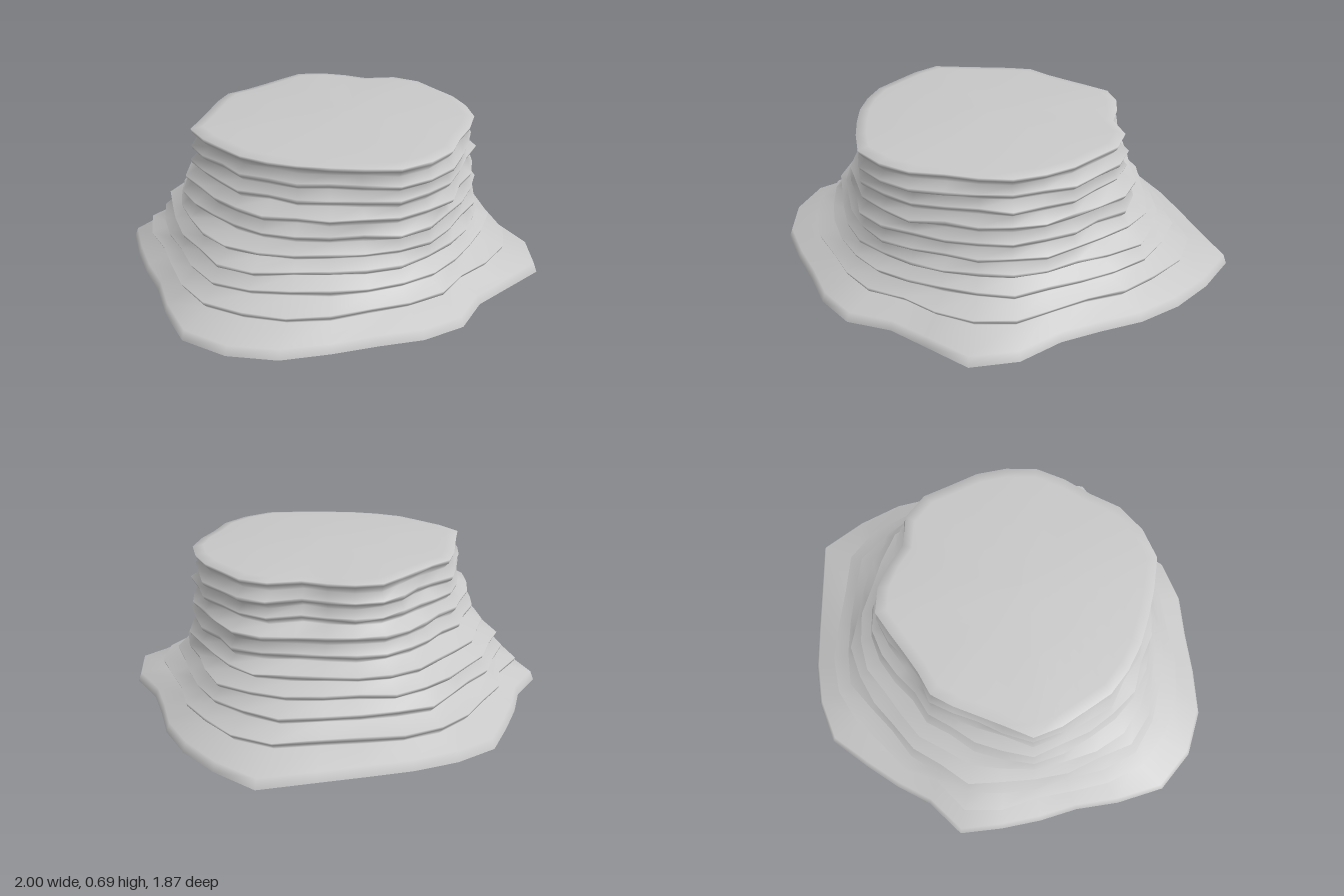
import * as THREE from 'three';

const SIDES = 30;
const TAU = Math.PI * 2;

// Plan radii every 12 degrees, from +x towards +z
const FOOT = [0.97, 0.92, 0.87, 0.87, 0.96, 1.0, 0.91, 0.87, 0.935, 0.93, 0.91, 0.94, 1.0, 1.03, 1.02,
  0.93, 0.86, 0.86, 0.88, 0.925, 0.84, 0.85, 0.88, 0.945, 0.94, 0.93, 0.935, 0.98, 1.08, 1.02];
const WAIST = [0.76, 0.72, 0.7, 0.7, 0.71, 0.71, 0.7, 0.7, 0.71, 0.72, 0.73, 0.73, 0.74, 0.77, 0.78,
  0.75, 0.72, 0.71, 0.72, 0.74, 0.69, 0.69, 0.67, 0.69, 0.72, 0.72, 0.71, 0.72, 0.76, 0.77];
const RIM = [0.63, 0.62, 0.64, 0.655, 0.67, 0.66, 0.655, 0.695, 0.71, 0.71, 0.66, 0.63, 0.62, 0.615, 0.615,
  0.6, 0.61, 0.62, 0.555, 0.525, 0.52, 0.525, 0.49, 0.49, 0.515, 0.565, 0.56, 0.54, 0.525, 0.605];

// Strata from bottom to top: [height of lip, blend]; 2 = foot, 1 = waist, 0 = rim
const STRATA = [[0.035, 2], [0.105, 1.48], [0.175, 1.15], [0.24, 1], [0.305, 0.7],
  [0.375, 0.4], [0.447, 0.3], [0.517, 0.07], [0.585, 0.04], [0.66, 0]];

function seeded(seed) {
  let s = seed;
  return () => (s = (s * 16807) % 2147483647) / 2147483647;
}

function planRadius(blend, j) {
  return blend > 1
    ? THREE.MathUtils.lerp(WAIST[j], FOOT[j], blend - 1)
    : THREE.MathUtils.lerp(RIM[j], WAIST[j], blend);
}

function buildRings() {
  const rand = seeded(77);
  const rings = [];
  const ring = (y, radii, wobble = 0) => rings.push(radii.map((r, j) => {
    const a = (j / SIDES) * TAU;
    return [r * Math.cos(a), y + (rand() - 0.5) * wobble, r * Math.sin(a)];
  }));

  // Uneven lip outline of each stratum
  const lips = STRATA.map(([, blend], k) => {
    const rough = k === 0 || k === STRATA.length - 1 ? 0 : 0.03;
    return FOOT.map((_, j) => planRadius(blend, j) + (rand() - 0.5) * rough);
  });

  ring(0, lips[0]);
  STRATA.forEach(([y], k) => {
    // Protruding lip, then a recessed groove under the next stratum
    if (k > 0) ring(y - 0.01, lips[k].map(r => r - 0.006), 0.006);
    ring(y + 0.006, lips[k].map(r => r - (k ? 0 : 0.015)), k < 9 ? 0.006 : 0);
    if (k < STRATA.length - 1) {
      ring(y + 0.036, lips[k + 1].map((r, j) => Math.min(r, lips[k][j]) - 0.03), 0.006);
    }
  });

  // Gently domed cap, shrinking towards its own centre
  const rim = rings[rings.length - 1];
  for (const [scale, y] of [[0.92, 0.674], [0.5, 0.688], [0, 0.692]]) {
    rings.push(rim.map(([x, , z]) => [0.01 + (x - 0.01) * scale, y, 0.1 + (z - 0.1) * scale]));
  }
  return rings;
}

// Joins the rings into one smooth shell, open underneath
function loft(rings) {
  const index = [];
  for (let i = 0; i < rings.length - 1; i++) {
    for (let j = 0; j < SIDES; j++) {
      const n = (j + 1) % SIDES;
      const a = i * SIDES + j, b = i * SIDES + n;
      const c = a + SIDES, d = b + SIDES;
      index.push(a, c, b);
      if (i < rings.length - 2) index.push(b, c, d);
    }
  }
  const geometry = new THREE.BufferGeometry();
  geometry.setAttribute('position', new THREE.Float32BufferAttribute(rings.flat(2), 3));
  geometry.setIndex(index);
  geometry.computeVertexNormals();
  return geometry;
}

export function createModel() {
  const group = new THREE.Group();
  group.name = 'rockMesa';
  const stone = new THREE.MeshStandardMaterial({ color: 0xc8c8c8, side: THREE.DoubleSide });
  stone.name = 'paleStone';
  const rock = new THREE.Mesh(loft(buildRings()), stone);
  rock.name = 'layeredRock';
  group.add(rock);
  return group;
}
